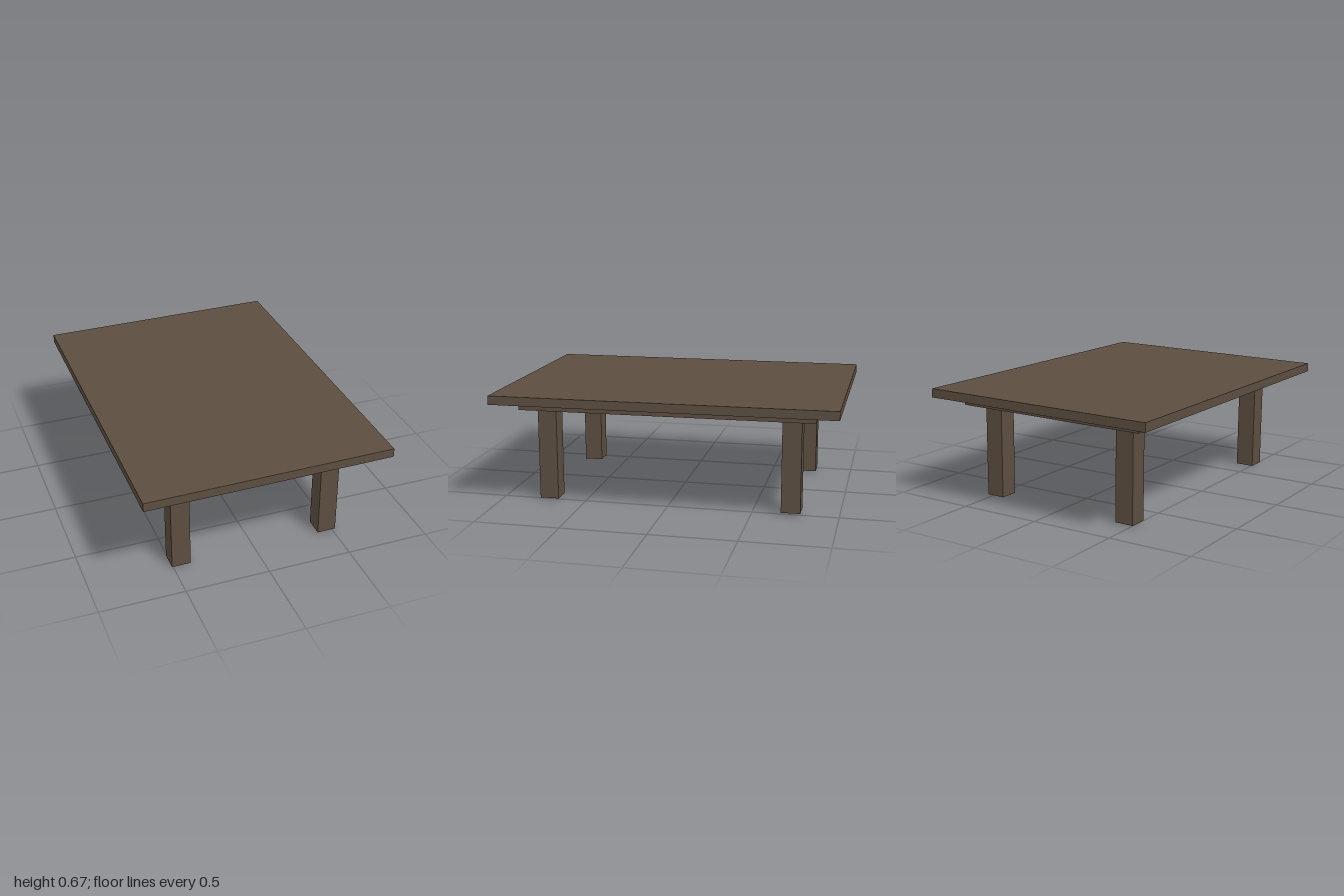
import * as THREE from 'three';

export function createModel() {
  const model = new THREE.Group();
  model.name = 'table';
  const wood = new THREE.MeshStandardMaterial({ color: 0x5c4e40 });
  wood.name = 'dark wood';

  // Box given by its centre in x and z, and its bottom and top heights
  function board(name, width, depth, bottom, top, x, z) {
    const mesh = new THREE.Mesh(new THREE.BoxGeometry(width, top - bottom, depth), wood);
    mesh.name = name;
    mesh.position.set(x, (bottom + top) / 2, z);
    model.add(mesh);
  }

  const footY = 0.0065, apronY = 0.558, topY = 0.61;
  const apronX = 0.598, apronZ = 0.865, thick = 0.087;
  const legSize = 0.112;

  board('tabletop', 1.453, 2, topY, 0.662, 0, 0);

  for (const s of [-1, 1]) {
    // Apron frame: long side rails with end rails fitted between them
    board('sideApron', thick, apronZ * 2, apronY, topY, s * (apronX - thick / 2), 0);
    board('endApron', (apronX - thick) * 2, thick, apronY, topY, 0, s * (apronZ - thick / 2));
    // Legs stand in the inner corners of the frame
    for (const t of [-1, 1]) {
      board('leg', legSize, legSize, footY, topY,
        s * (apronX - thick - legSize / 2), t * (apronZ - thick - legSize / 2));
    }
  }

  // The table leans very slightly
  model.rotation.set(0.003, 0, 0.008);
  model.position.set(0.005, 0, -0.002);

  const root = new THREE.Group();
  root.name = 'leaningTable';
  root.add(model);
  return root;
}
